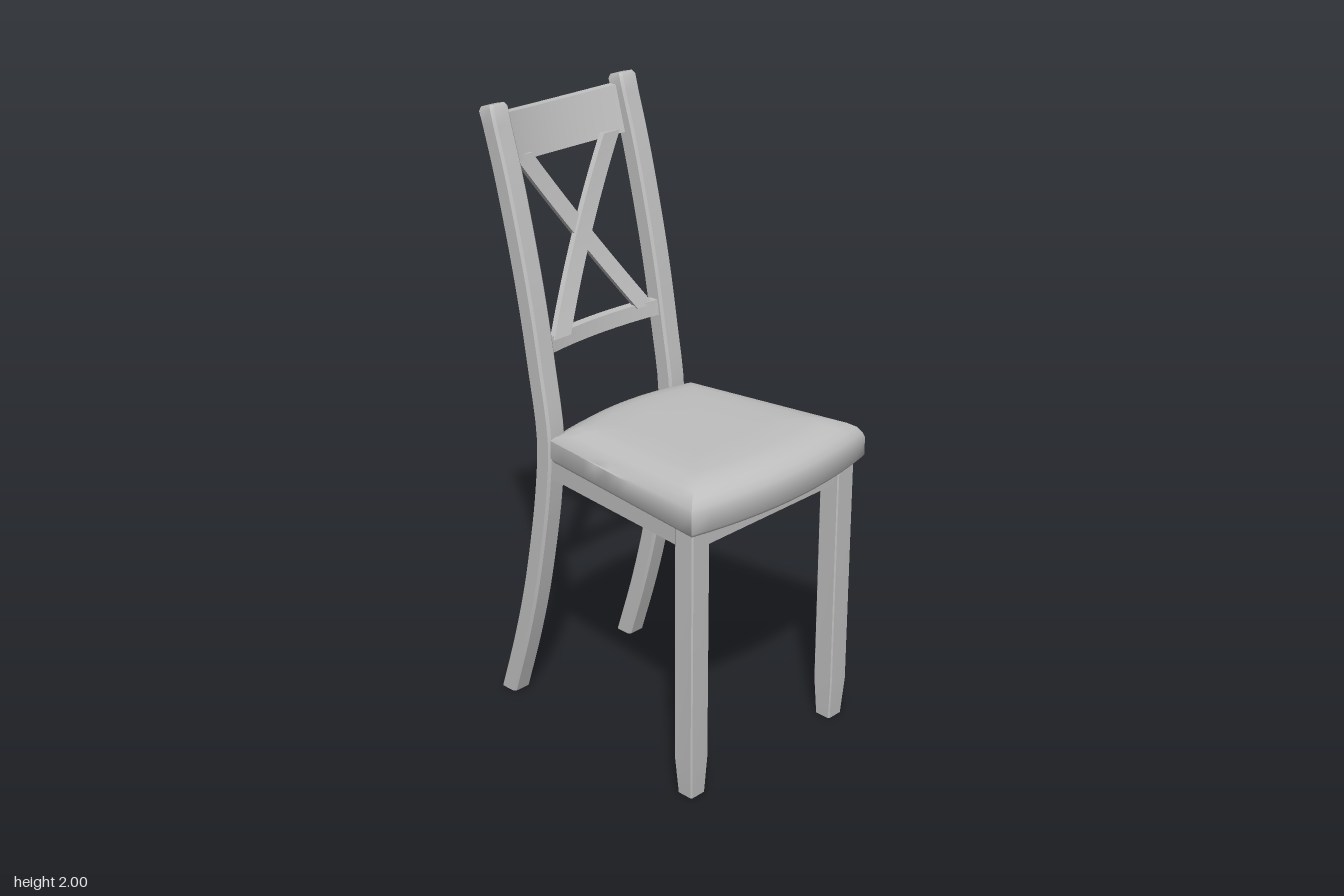
import * as THREE from 'three';
import { toCreasedNormals } from 'three/addons/utils/BufferGeometryUtils.js';

// Skin a closed solid over a list of convex loops of [x, y, z] points.
function loft(loops, crease = 0.6) {
  const n = loops[0].length, pos = loops.flat(2), index = [];
  for (let i = 0; i < loops.length - 1; i++) {
    for (let j = 0; j < n; j++) {
      const a = i * n + j, b = i * n + (j + 1) % n;
      index.push(a, b, b + n, a, b + n, a + n);
    }
  }
  const last = (loops.length - 1) * n;
  for (let j = 1; j < n - 1; j++) {
    index.push(0, j + 1, j, last, last + j, last + j + 1);
  }
  // Turn the faces outward if the loops ran the other way round.
  const p = (i) => new THREE.Vector3().fromArray(pos, i * 3);
  let volume = 0;
  for (let i = 0; i < index.length; i += 3) {
    volume += p(index[i]).dot(p(index[i + 1]).cross(p(index[i + 2])));
  }
  if (volume < 0) index.reverse();
  const geo = new THREE.BufferGeometry();
  geo.setAttribute('position', new THREE.Float32BufferAttribute(pos, 3));
  geo.setIndex(index);
  return toCreasedNormals(geo, crease);
}

// Horizontal rectangle with clipped corners; tilt lowers its back edge.
function section(x, y, z, hw, hd, c = 0.008, tilt = 0) {
  return [
    [hw - c, hd], [hw, hd - c], [hw, c - hd], [hw - c, -hd],
    [c - hw, -hd], [-hw, c - hd], [-hw, hd - c], [c - hw, hd],
  ].map(([dx, dz]) => [x + dx, y + dz * tilt, z + dz]);
}

// Padded seat: square rings mapped onto a tapering, bowed outline.
function cushion() {
  const rings = [
    [0.975, 0.912], [1, 0.925], [1, 0.985], [0.985, 1.002], [0.95, 1.022],
    [0.89, 1.038], [0.8, 1.052], [0.7, 1.058], [0.5, 1.06],
  ];
  const n = 12;
  return loft(rings.map(([s, y]) => {
    const loop = [];
    for (let side = 0; side < 4; side++) {
      for (let i = 0; i < n; i++) {
        const t = -1 + 2 * i / n;
        const [a, b] = [[t, 1], [1, -t], [-t, -1], [-1, t]][side];
        const u = a * s, v = b * s, bow = 1 - a * a;
        const back = -0.208 - 0.05 * bow, front = 0.47 + 0.046 * bow;
        const slope = y > 1 ? 0.024 * (1 - v) / 2 : 0;
        loop.push([u * (0.35 + 0.04 * v), y - slope, back + (front - back) * (v + 1) / 2]);
      }
    }
    return loop;
  }), 0.7);
}

// Cross rail bowed backwards between the posts.
function bowedRail(y0, y1, z0, z1, depth, bow, sag) {
  const loops = [];
  for (let i = 0; i <= 16; i++) {
    const t = -1 + i / 8, k = 1 - t * t, x = t * 0.245;
    const dz = -bow * k, dy = -sag * k;
    loops.push([
      [x, y0 + dy, z0 + dz], [x, y1 + dy, z1 + dz],
      [x, y1 + dy, z1 + dz - depth], [x, y0 + dy, z0 + dz - depth],
    ]);
  }
  return loft(loops);
}

// Diagonal slat of the back, rising towards side = +1 or -1.
function slat(side, shift) {
  const loops = [];
  for (let i = 0; i <= 14; i++) {
    const t = i / 14, x = side * (-0.187 + 0.37 * t), y = 1.275 + 0.55 * t;
    const z = -0.278 - 0.152 * t - 0.06 * t * (1 - t) + shift;
    loops.push([
      [x - 0.035, y, z], [x + 0.035, y, z],
      [x + 0.035, y, z - 0.02], [x - 0.035, y, z - 0.02],
    ]);
  }
  return loft(loops);
}

// Straight board between two plan points, used for the seat frame.
function apron(x0, z0, x1, z1) {
  const dx = x1 - x0, dz = z1 - z0;
  const geo = new THREE.BoxGeometry(Math.hypot(dx, dz), 0.07, 0.04);
  geo.rotateY(-Math.atan2(dz, dx));
  return geo.translate((x0 + x1) / 2, 0.88, (z0 + z1) / 2);
}

export function createModel() {
  const group = new THREE.Group();
  const grey = new THREE.MeshStandardMaterial({ color: 0xc0c0c0 });
  grey.name = 'pale grey';
  const add = (name, geometry) => {
    const mesh = new THREE.Mesh(geometry, grey);
    mesh.name = name;
    group.add(mesh);
  };

  add('seatCushion', cushion());

  // Curved path of the back posts, from the foot to the top.
  const curve = new THREE.CatmullRomCurve3([
    [-0.452, 0], [-0.388, 0.2], [-0.334, 0.4], [-0.293, 0.6], [-0.264, 0.78],
    [-0.25, 0.97], [-0.283, 1.2], [-0.318, 1.4], [-0.362, 1.6], [-0.413, 1.8], [-0.468, 1.98],
  ].map(([z, y]) => new THREE.Vector3(0, y, z)));

  for (const side of [1, -1]) {
    const label = side > 0 ? 'left' : 'right';

    const loops = curve.getPoints(40).map((p, i) =>
      section(side * 0.27, p.y, p.z, 0.035, 0.033, 0.008, i === 40 ? 0.25 : 0));
    loops.push(section(side * 0.27, 1.992, -0.471, 0.029, 0.027, 0.008, 0.28));
    add(label + 'BackPost', loft(loops));

    // Front leg with a tapered foot
    add(label + 'FrontLeg', loft([
      section(side * 0.325, 0, 0.414, 0.03, 0.029, 0.004),
      section(side * 0.327, 0.13, 0.414, 0.037, 0.037, 0.004),
      section(side * 0.327, 0.915, 0.414, 0.037, 0.037, 0.004),
    ]));

    add(label + 'Apron', apron(side * 0.332, 0.39, side * 0.272, -0.235));
  }

  add('frontApron', apron(-0.3, 0.415, 0.3, 0.415));
  add('backApron', apron(-0.25, -0.245, 0.25, -0.245));

  add('topRail', bowedRail(1.815, 1.96, -0.418, -0.458, 0.027, 0.034, 0.013));
  add('lowerRail', bowedRail(1.236, 1.286, -0.27, -0.277, 0.03, 0.024, 0.002));

  add('frontSlat', slat(1, 0.004));
  add('rearSlat', slat(-1, -0.006));
  return group;
}
